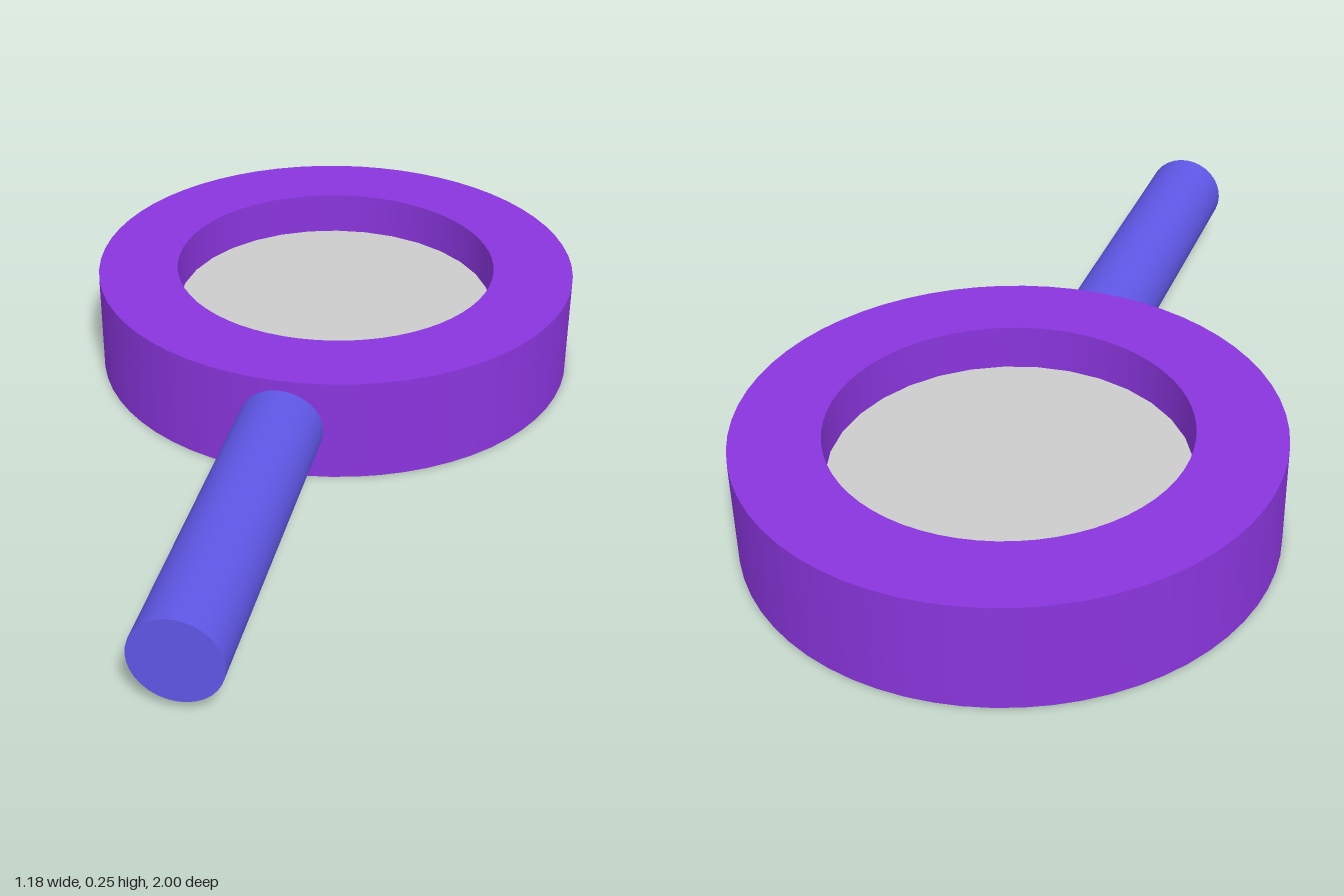
import * as THREE from 'three';

const RING_Z = -0.41, HEIGHT = 0.247, OUTER = 0.59, INNER = 0.395, SIDES = 32;

export function createModel() {
  const group = new THREE.Group();
  const add = (name, geometry, color, y, z) => {
    const mesh = new THREE.Mesh(geometry, new THREE.MeshStandardMaterial({ color }));
    mesh.name = name;
    mesh.position.set(0, y, z);
    group.add(mesh);
    return mesh;
  };

  // Frame: thick flat ring lying down, with smooth walls and sharp rims
  const shape = new THREE.Shape().absarc(0, 0, OUTER, 0, Math.PI * 2);
  shape.holes.push(new THREE.Path().absarc(0, 0, INNER, 0, Math.PI * 2, true));
  const ring = new THREE.ExtrudeGeometry(shape, { depth: HEIGHT, bevelEnabled: false, curveSegments: SIDES });
  ring.rotateX(-Math.PI / 2);
  // Radial normals on the walls
  const pos = ring.attributes.position, nor = ring.attributes.normal;
  for (let i = 0; i < pos.count; i++) {
    if (Math.abs(nor.getY(i)) > 0.5) continue;
    const x = pos.getX(i), z = pos.getZ(i), r = Math.hypot(x, z);
    const s = r > (OUTER + INNER) / 2 ? 1 : -1;
    nor.setXYZ(i, s * x / r, 0, s * z / r);
  }
  add('frame', ring, 0x8a35dd, 0, RING_Z);

  // Lens: thin disc recessed from both rims
  add('lens', new THREE.CylinderGeometry(INNER, INNER, 0.026, SIDES), 0xcccccc, 0.128, RING_Z);

  // Handle: round bar that runs into the frame wall
  const start = 0.1, end = 1;
  const bar = new THREE.CylinderGeometry(0.098, 0.098, end - start, SIDES).rotateX(Math.PI / 2);
  add('handle', bar, 0x5f57e6, HEIGHT / 2, (start + end) / 2);

  return group;
}
